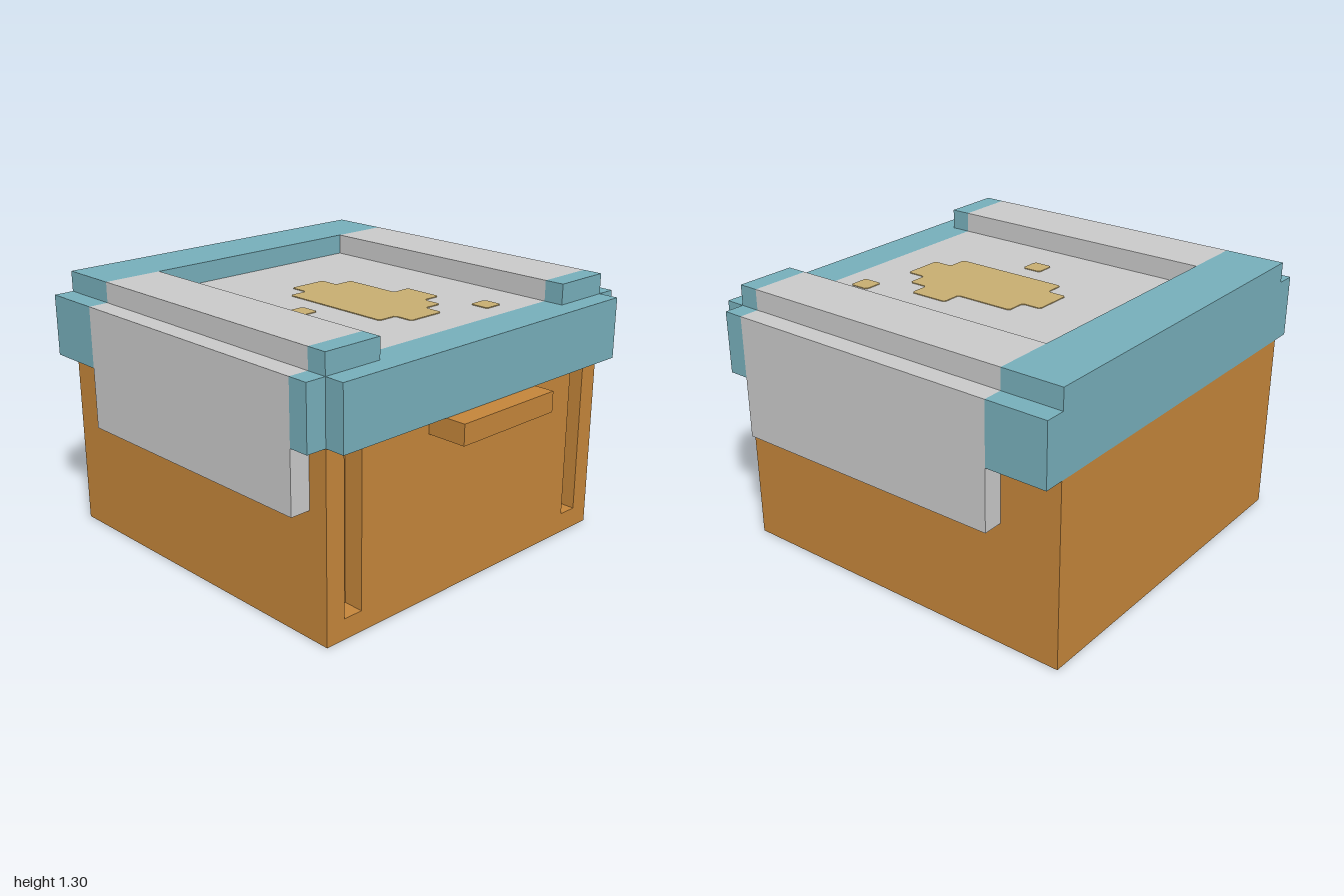
import * as THREE from 'three';

const mat = (name, color) => {
  const m = new THREE.MeshStandardMaterial({ color });
  m.name = name;
  return m;
};

export function createModel() {
  const group = new THREE.Group();
  const wood = mat('orange wood', 0xc4853a);
  const teal = mat('teal', 0x76aeba);
  const grey = mat('light grey', 0xc9c9c9);
  const gold = mat('tan stain', 0xc7ad70);

  const add = (name, geometry, material) => {
    const mesh = new THREE.Mesh(geometry, material);
    mesh.name = name;
    group.add(mesh);
    return mesh;
  };

  // Box given by its limits on each axis
  const box = (name, material, [x0, x1], [y0, y1], [z0, z1]) =>
    add(name, new THREE.BoxGeometry(x1 - x0, y1 - y0, z1 - z0), material)
      .position.set((x0 + x1) / 2, (y0 + y1) / 2, (z0 + z1) / 2);

  // Symmetric front profile (right half, bottom to top) extruded from z0 to z1
  const slice = (name, material, half, z0, z1) => {
    const mirrored = half.map(([x, y]) => [-x, y]).reverse();
    const shape = new THREE.Shape([...half, ...mirrored].map(([x, y]) => new THREE.Vector2(x, y)));
    const geometry = new THREE.ExtrudeGeometry(shape, { depth: z1 - z0, bevelEnabled: false });
    add(name, geometry.translate(0, 0, z0), material);
  };

  // Body, with two upright grooves cut into the front panel
  box('body', wood, [-0.9, 0.9], [0, 0.9], [-1, 0.7]);
  slice('groovedFront', wood, [
    [0.9, 0], [0.9, 0.9], [0.8, 0.9], [0.8, 0.1], [0.7, 0.1], [0.7, 0.9],
  ], 0.7, 0.8);
  box('handle', wood, [-0.3, 0.3], [0.8, 0.9], [0.8, 1]);

  // Lid: solid back, draped grey middle, front ends and lip
  const rail = [[1, 1.2], [0.9, 1.2], [0.9, 1.3], [0.6, 1.3], [0.6, 1.2]];
  slice('lidBack', teal, [[1, 0.9], [1, 1.2], [0.9, 1.2], [0.9, 1.3]], -1, -0.7);
  slice('lidCover', grey, [[0.9, 0.9], [0.9, 0.6], [1, 0.6], ...rail], -0.7, 0.7);
  slice('lidFront', teal, [[1, 0.9], ...rail], 0.7, 0.8);
  box('lidLip', teal, [-0.9, 0.9], [0.9, 1.2], [0.8, 0.9]);

  // Stain: flat plate lying on the cover, outline in x and z with nipped corners
  const stain = (name, outline) => {
    const nip = 0.01;
    const points = outline.map(([x, z]) => new THREE.Vector2(x, -z));
    const nipped = points.flatMap((p, i) => {
      const toward = (q) => p.clone().add(q.clone().sub(p).setLength(nip));
      return [toward(points.at(i - 1)), toward(points[(i + 1) % points.length])];
    });
    const geometry = new THREE.ExtrudeGeometry(new THREE.Shape(nipped), { depth: 0.004, bevelEnabled: false });
    add(name, geometry.rotateX(-Math.PI / 2).translate(0, 1.2, 0), gold);
  };
  const square = (x, z) => [[x, z], [x + 0.1, z], [x + 0.1, z + 0.1], [x, z + 0.1]];
  stain('largeStain', [
    [-0.1, -0.3], [0.1, -0.3], [0.1, -0.2], [0.2, -0.2], [0.2, 0.1], [0.3, 0.1],
    [0.3, 0.3], [0.2, 0.3], [0.2, 0.4], [0.1, 0.4], [0.1, 0.5], [-0.1, 0.5],
    [-0.1, 0.4], [-0.2, 0.4], [-0.2, -0.2], [-0.1, -0.2],
  ]);
  stain('leftSpot', square(-0.4, 0));
  stain('rightSpot', square(0.3, 0.5));

  return group;
}
